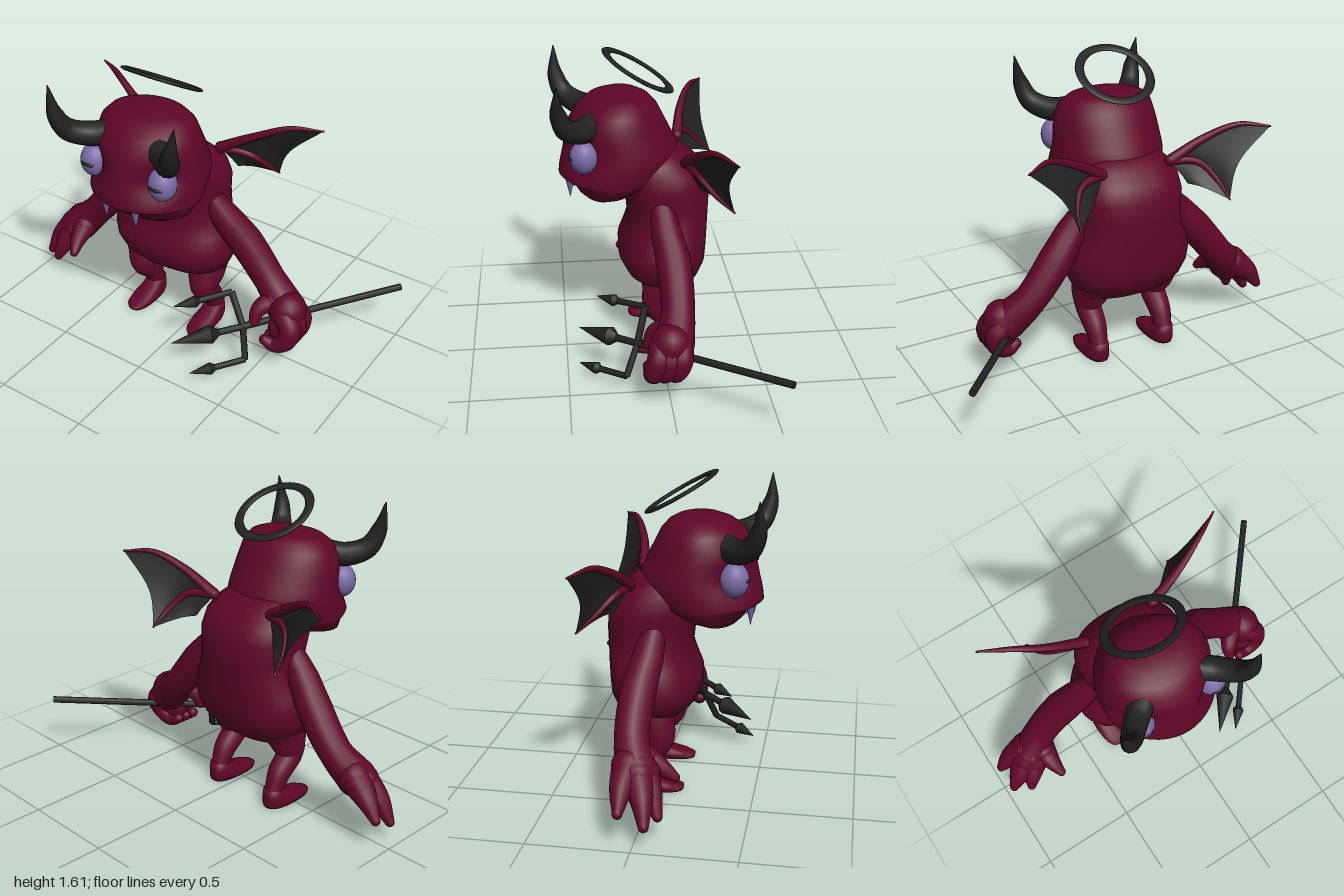
import * as THREE from 'three';
import { mergeGeometries } from 'three/addons/utils/BufferGeometryUtils.js';

const mat = (name, color, side = THREE.FrontSide) => {
  const m = new THREE.MeshStandardMaterial({ color, side });
  m.name = name;
  return m;
};
const V = (a) => new THREE.Vector3(...a);

// Smooth tapering tube through points, with rounded ends
function limbGeometry(points, radii, sides = 14) {
  const path = new THREE.CatmullRomCurve3(points.map(V));
  const n = points.length * 6;
  const geo = new THREE.TubeGeometry(path, n, 1, sides);
  const pos = geo.attributes.position;
  const p = new THREE.Vector3();
  for (let i = 0; i <= n; i++) {
    const c = path.getPointAt(i / n);
    const t = path.getUtoTmapping(i / n) * (radii.length - 1);
    const k = Math.min(Math.floor(t), radii.length - 2);
    const r = THREE.MathUtils.lerp(radii[k], radii[k + 1], t - k);
    for (let j = 0; j <= sides; j++) {
      const q = i * (sides + 1) + j;
      p.fromBufferAttribute(pos, q).sub(c).multiplyScalar(r).add(c);
      pos.setXYZ(q, p.x, p.y, p.z);
    }
  }
  const ends = [[points[0], radii[0]], [points.at(-1), radii.at(-1)]].map(([c, r]) =>
    new THREE.SphereGeometry(r, sides, 10).translate(...c));
  return mergeGeometries([geo, ...ends]);
}

// Stacked oval rings; each row is [y, front z, back z, half width]
function loftGeometry(rows, power = 2, sides = 36) {
  const pos = [], index = [];
  const curve = (v) => Math.sign(v) * Math.abs(v) ** (2 / power);
  const closed = [[...rows[0]], ...rows, [...rows.at(-1)]];
  closed.forEach(([y, front, back, w], i) => {
    const k = i === 0 || i === closed.length - 1 ? 0 : 1;
    for (let j = 0; j < sides; j++) {
      const a = (j / sides) * Math.PI * 2;
      pos.push(k * w * curve(Math.cos(a)), y, (front + back) / 2 + k * (front - back) / 2 * curve(Math.sin(a)));
      if (i === closed.length - 1) continue;
      const p = i * sides + j, q = i * sides + (j + 1) % sides;
      index.push(p, p + sides, q, q, p + sides, q + sides);
    }
  });
  const geo = new THREE.BufferGeometry();
  geo.setAttribute('position', new THREE.Float32BufferAttribute(pos, 3));
  geo.setIndex(index);
  geo.computeVertexNormals();
  return geo;
}

// Press shallow eye sockets into the front of the head
function pressSockets(geo) {
  const pos = geo.attributes.position;
  for (let i = 0; i < pos.count; i++) {
    const z = pos.getZ(i);
    if (z < 0.2) continue;
    const d = Math.hypot(Math.abs(pos.getX(i)) - 0.19, pos.getY(i) - 1.12);
    pos.setZ(i, z - 0.055 * Math.exp(-((d / 0.085) ** 2)));
  }
  geo.computeVertexNormals();
  return geo;
}

// Skin stretched between two curves from one root, with a scalloped outer edge
function membraneGeometry(a, b, scallop) {
  const A = new THREE.CatmullRomCurve3(a.map(V)), B = new THREE.CatmullRomCurve3(b.map(V));
  const root = A.getPoint(0), n = 12, pos = [], index = [];
  for (let i = 0; i <= n; i++) for (let j = 0; j <= n; j++) {
    const s = j / n;
    const p = A.getPoint(i / n).lerp(B.getPoint(i / n), s);
    p.sub(root).multiplyScalar(1 - scallop * Math.sin(Math.PI * s)).add(root);
    pos.push(p.x, p.y, p.z);
    if (i < n && j < n) {
      const k = i * (n + 1) + j;
      index.push(k, k + 1, k + n + 1, k + 1, k + n + 2, k + n + 1);
    }
  }
  const geo = new THREE.BufferGeometry();
  geo.setAttribute('position', new THREE.Float32BufferAttribute(pos, 3));
  geo.setIndex(index);
  geo.computeVertexNormals();
  return geo;
}

export function createModel() {
  const skin = mat('crimson skin', 0x5f0629);
  const black = mat('black', 0x222222);
  const web = mat('wing black', 0x222222, THREE.DoubleSide);
  const violet = mat('violet', 0x7b6ba5);
  const model = new THREE.Group();
  const imp = new THREE.Group();
  imp.name = 'imp';
  imp.position.x = -0.115;
  model.add(imp);
  const add = (name, geo, material, parent = imp) => {
    const m = new THREE.Mesh(geo, material);
    m.name = name;
    parent.add(m);
    return m;
  };

  // Torso and head
  add('torso', loftGeometry([
    [0.34, 0.03, -0.12, 0.12], [0.37, 0.10, -0.17, 0.24], [0.43, 0.17, -0.22, 0.31], [0.5, 0.205, -0.25, 0.34],
    [0.57, 0.205, -0.255, 0.35], [0.65, 0.175, -0.26, 0.325], [0.72, 0.155, -0.265, 0.285], [0.82, 0.165, -0.27, 0.275],
    [0.92, 0.19, -0.265, 0.285], [1.0, 0.2, -0.23, 0.275], [1.06, 0.2, -0.165, 0.24], [1.11, 0.15, -0.11, 0.18]], 2.4), skin);
  add('head', pressSockets(loftGeometry([
    [0.858, 0.36, 0.27, 0.1], [0.87, 0.39, 0.18, 0.2], [0.9, 0.42, 0.1, 0.265], [0.95, 0.45, 0, 0.292],
    [0.962, 0.49, -0.04, 0.296], [0.975, 0.508, -0.06, 0.298], [1.02, 0.503, -0.1, 0.3], [1.06, 0.495, -0.115, 0.3],
    [1.09, 0.488, -0.115, 0.297], [1.12, 0.482, -0.105, 0.294], [1.15, 0.475, -0.09, 0.29], [1.2, 0.465, -0.065, 0.283],
    [1.25, 0.452, -0.04, 0.274], [1.32, 0.41, -0.005, 0.253], [1.36, 0.36, 0.03, 0.215], [1.383, 0.3, 0.07, 0.155],
    [1.394, 0.25, 0.13, 0.07]], 1.95, 48)), skin);

  // Mouth strip
  const mouth = add('mouth', new THREE.CylinderGeometry(1, 0.93, 0.045, 16, 1, true, -0.36, 0.72), black);
  mouth.scale.set(0.295, 1, 0.235);
  mouth.position.set(0, 0.94, 0.225);

  for (const s of [-1, 1]) {
    const side = s > 0 ? 'left' : 'right';
    const flip = (pts) => pts.map(([x, y, z]) => [s * x, y, z]);
    const limb = (name, pts, radii, material = skin, sides = 14) =>
      add(side + name, limbGeometry(flip(pts), radii, sides), material);

    // Face
    const eye = add(side + 'Eye', new THREE.SphereGeometry(1, 24, 16), violet);
    eye.scale.set(0.073, 0.087, 0.073);
    eye.position.set(s * 0.204, 1.12, 0.382);
    const pupil = add(side + 'Pupil', new THREE.SphereGeometry(1, 12, 8), black);
    pupil.scale.set(0.041, 0.013, 0.022);
    pupil.position.set(s * 0.204, 1.123, 0.44);
    const fang = add(side + 'Fang', new THREE.ConeGeometry(0.025, 0.11, 12), violet);
    fang.rotation.x = Math.PI;
    fang.position.set(s * 0.09, 0.915, 0.453);
    limb('Horn', [[0.12, 1.28, 0.31], [0.22, 1.262, 0.385], [0.3, 1.3, 0.465], [0.335, 1.39, 0.505], [0.365, 1.535, 0.51]],
      [0.062, 0.062, 0.055, 0.041, 0.003], black);

    // Legs and feet
    limb('Leg', [[0.19, 0.44, -0.03], [0.2, 0.35, 0], [0.2, 0.265, 0.02], [0.2, 0.17, -0.06], [0.2, 0.08, -0.1]],
      [0.12, 0.1, 0.07, 0.06, 0.047]);
    add(side + 'Foot', loftGeometry([[0, 0.14, -0.15, 0.062], [0.02, 0.145, -0.157, 0.066], [0.035, 0.11, -0.157, 0.064],
      [0.06, 0, -0.155, 0.055], [0.1, -0.045, -0.15, 0.048]], 2.5, 20), skin).position.x = s * 0.2;

    // Arms
    limb('Arm', [[0.23, 0.84, -0.005], [0.32, 0.735, -0.02], [0.42, 0.615, -0.045], [0.57, 0.43, -0.05],
      s > 0 ? [0.69, 0.32, -0.02] : [0.67, 0.32, -0.01]], [0.06, 0.08, 0.09, 0.084, 0.1]);

    // Wings: upper spar, finger bone and two webs
    const spar = [[0.2, 1.07, -0.13], [0.385, 1.175, -0.17], [0.543, 1.24, -0.235], [0.682, 1.23, -0.315]];
    const bone = [[0.2, 1.07, -0.13], [0.34, 1.05, -0.18], [0.405, 0.97, -0.255], [0.43, 0.885, -0.345]];
    const inner = [[0.2, 1.07, -0.13], [0.22, 1.03, -0.15], [0.25, 0.99, -0.17], [0.27, 0.95, -0.19]];
    limb('WingSpar', spar, [0.03, 0.021, 0.014, 0.005], skin, 8);
    limb('WingBone', bone, [0.024, 0.019, 0.015, 0.005], skin, 8);
    add(side + 'OuterWeb', membraneGeometry(flip(spar), flip(bone), 0.14), web);
    add(side + 'InnerWeb', membraneGeometry(flip(bone), flip(inner), 0.12), web);
  }

  // Open right hand
  [[[-0.68, 0.34, -0.04], [-0.78, 0.26, -0.06], [-0.845, 0.17, -0.065]],
    [[-0.7, 0.31, 0], [-0.78, 0.22, 0.035], [-0.84, 0.11, 0.055]],
    [[-0.67, 0.3, 0.02], [-0.72, 0.22, 0.07], [-0.755, 0.125, 0.105]],
    [[-0.61, 0.35, 0.02], [-0.6, 0.3, 0.1], [-0.585, 0.25, 0.16]]].forEach((pts, i) =>
    add('rightFinger' + (i + 1), limbGeometry(pts, i < 3 ? [0.085, 0.056, 0.025] : [0.07, 0.045, 0.024]), skin));

  // Left hand closed on the shaft
  add('leftPalm', limbGeometry([[0.71, 0.33, 0], [0.715, 0.27, 0.01], [0.7, 0.22, 0.03]], [0.1, 0.095, 0.075]), skin);
  [-0.055, 0.0, 0.055].forEach((z, i) =>
    add('leftFinger' + (i + 1), limbGeometry([[0.72, 0.32, z * 0.8], [0.765, 0.26, z + 0.01], [0.75, 0.19, z + 0.03],
      [0.69, 0.15, z + 0.04], [0.64, 0.165, z + 0.05]], [0.065, 0.06, 0.052, 0.04, 0.028]), skin));
  add('leftThumb', limbGeometry([[0.63, 0.36, 0.01], [0.58, 0.32, 0.07], [0.57, 0.25, 0.1]], [0.06, 0.042, 0.028]), skin);

  // Halo
  const halo = add('halo', new THREE.TorusGeometry(0.185, 0.024, 10, 48), black);
  halo.scale.z = 0.4;
  halo.rotation.x = 1.036;
  halo.position.set(0, 1.499, 0.093);

  // Trident
  const trident = new THREE.Group();
  trident.name = 'trident';
  model.add(trident);
  const rod = (name, a, b, r0, r1, sides = 10) => {
    const d = V(b).sub(V(a));
    const m = add(name, new THREE.CylinderGeometry(r1, r0, d.length(), sides), black, trident);
    m.position.copy(V(a)).addScaledVector(d, 0.5);
    m.quaternion.setFromUnitVectors(V([0, 1, 0]), d.normalize());
  };
  const dir = V([-0.81, -0.105, 0.905]).normalize();
  const back = (p, d) => V(p).addScaledVector(dir, -d).toArray();
  const spear = (name, base, tip, r, length, radius) => {
    rod(name + 'Rod', base, back(tip, length), r, r);
    rod(name + 'Collar', back(tip, length * 1.15), back(tip, length * 0.95), r, radius);
    rod(name + 'Point', back(tip, length * 0.95), tip, radius, 0.001);
  };
  const fork = [0.42, 0.235, 0.15];
  spear('shaft', fork, [0.165, 0.2, 0.435], 0.018, 0.22, 0.05);
  rod('handle', [0.985, 0.305, -0.53], fork, 0.018, 0.018);
  [[[0.315, 0.385, 0.1], [0.11, 0.35, 0.335]], [[0.475, 0.08, 0.21], [0.28, 0.055, 0.44]]].forEach(([bend, tip], i) => {
    const name = i ? 'lowerProng' : 'upperProng';
    rod(name + 'Arm', fork, bend, 0.018, 0.018, 6);
    spear(name, bend, tip, 0.016, 0.12, 0.032);
  });
  return model;
}
